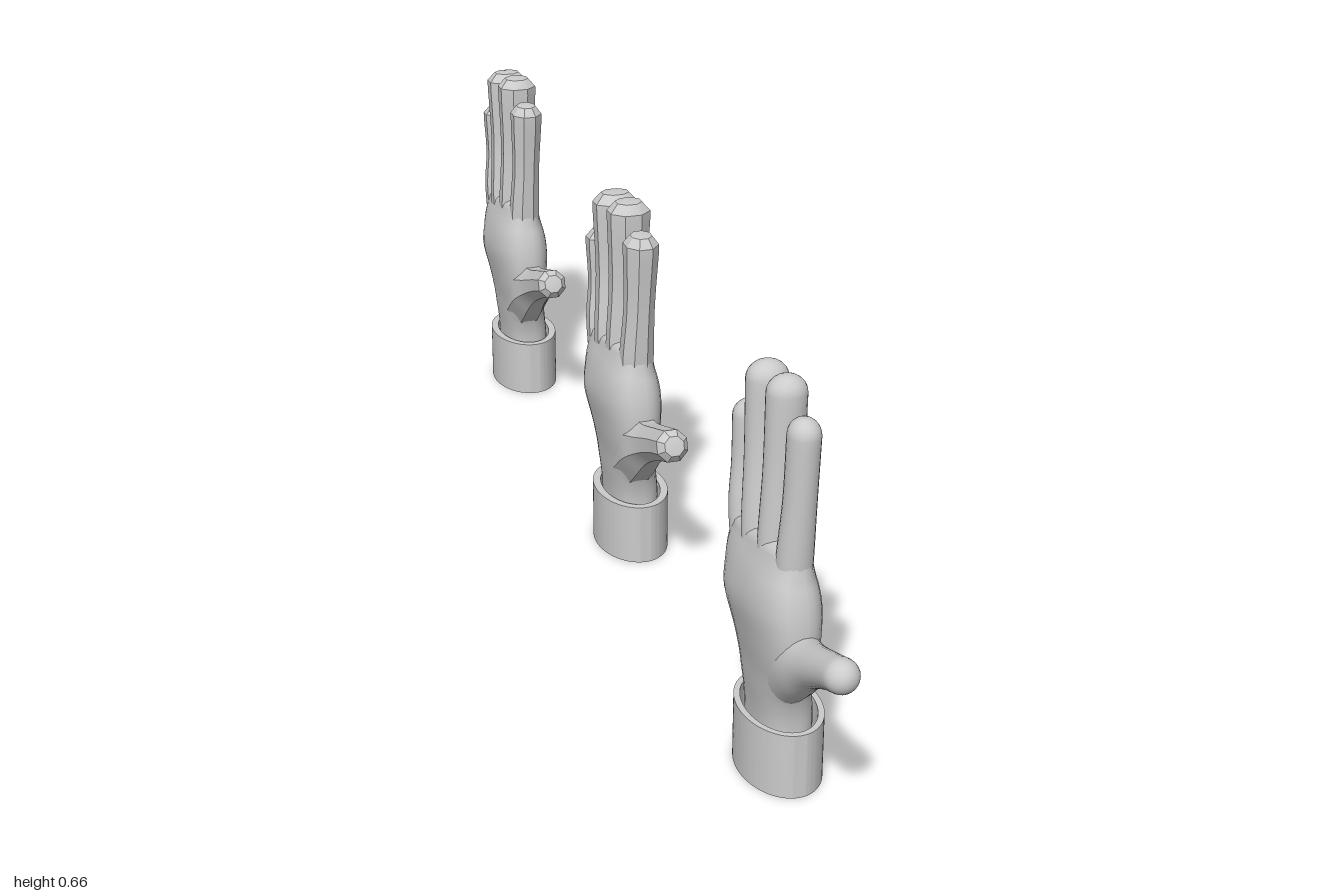
import * as THREE from 'three';
import { toCreasedNormals } from 'three/addons/utils/BufferGeometryUtils.js';

const material = new THREE.MeshStandardMaterial({ color: 0xcccccc, side: THREE.DoubleSide });

// Rounded and chamfered ends: [distance along tip, scale of the ring]
const ROUND_TIP = [1, 2, 3, 4, 5].map((k) => [Math.sin(k * Math.PI / 12), Math.cos(k * Math.PI / 12)]);
const CHAMFER_TIP = [[0.4, 1], [0.9, 0.62]];

// Lofted limb. Stations are [z, y, half width, x centre, half depth] along a path in the zy plane.
function limb(stations, { sides = 24, power = 2, steps = 20, tip = ROUND_TIP, tipLength, crease = 0 }) {
  const centre = new THREE.CatmullRomCurve3(
    stations.map(([z, y, , x]) => new THREE.Vector3(x, y, z)), false, 'catmullrom');
  const size = new THREE.CatmullRomCurve3(
    stations.map(([, , w, , d]) => new THREE.Vector3(d, w, 0)), false, 'catmullrom');
  const positions = [], index = [];
  const grow = sides <= 8 ? 1 / Math.cos(Math.PI / sides) : 1;
  const bend = (v) => Math.sign(v) * Math.abs(v) ** (2 / power);
  let rings = 0;

  const ring = (c, t, s, scale) => {
    for (let j = 0; j < sides; j++) {
      const a = ((j + 0.5) / sides) * Math.PI * 2;
      const n = bend(Math.sin(a)) * s.y * scale * grow;
      positions.push(c.x + bend(Math.cos(a)) * s.x * scale * grow, c.y - t.z * n, c.z + t.y * n);
    }
    rings++;
  };

  for (let i = 0; i <= steps; i++) {
    const u = i / steps;
    ring(centre.getPoint(u), centre.getTangent(u).setX(0).normalize(), size.getPoint(u), 1);
  }
  const end = centre.getPoint(1), dir = centre.getTangent(1).setX(0).normalize(), last = size.getPoint(1);
  const length = tipLength ?? last.y;
  for (const [along, scale] of tip) ring(end.clone().addScaledVector(dir, along * length), dir, last, scale);
  positions.push(...end.addScaledVector(dir, length).toArray());

  for (let i = 0; i < rings; i++) {
    for (let j = 0; j < sides; j++) {
      const a = i * sides + j, b = i * sides + (j + 1) % sides;
      if (i === rings - 1) index.push(a, rings * sides, b);
      else index.push(a, a + sides, b, b, a + sides, b + sides);
    }
  }
  const geometry = new THREE.BufferGeometry();
  geometry.setAttribute('position', new THREE.Float32BufferAttribute(positions, 3));
  geometry.setIndex(index);
  geometry.computeVertexNormals();
  return crease ? toCreasedNormals(geometry, crease) : geometry;
}

// Palm outline by height: y, z min, z max, x min, x max
const PALM = [
  [0.03, -0.072, 0.077, -0.041, 0.043],
  [0.11, -0.073, 0.077, -0.043, 0.045],
  [0.16, -0.079, 0.086, -0.048, 0.040],
  [0.20, -0.094, 0.104, -0.052, 0.037],
  [0.25, -0.116, 0.124, -0.060, 0.041],
  [0.30, -0.131, 0.124, -0.067, 0.044],
  [0.345, -0.140, 0.112, -0.059, 0.036],
  [0.385, -0.144, 0.103, -0.044, 0.028],
].map(([y, z0, z1, x0, x1]) => [(z0 + z1) / 2, y, (z1 - z0) / 2, (x0 + x1) / 2, (x1 - x0) / 2]);

// Fingers: z at base, knuckle and tip, top height, half width, half depth
const FINGERS = {
  indexFinger: [0.070, 0.077, 0.087, 0.626, 0.027, 0.025],
  middleFinger: [0.018, 0.017, 0.015, 0.662, 0.028, 0.031],
  ringFinger: [-0.035, -0.046, -0.065, 0.652, 0.029, 0.033],
  littleFinger: [-0.098, -0.116, -0.129, 0.562, 0.026, 0.029],
};

const THUMB = [
  [0.045, 0.195, 0.055, -0.006, 0.040],
  [0.100, 0.236, 0.050, -0.006, 0.039],
  [0.155, 0.263, 0.034, -0.005, 0.031],
  [0.210, 0.287, 0.028, -0.004, 0.027],
  [0.253, 0.303, 0.027, -0.003, 0.027],
];

function ellipse(a, b, Type) {
  const path = new Type();
  path.absellipse(0, 0, a, b, 0, Math.PI * 2, false, 0);
  return path;
}

function extrudeUp(shape, depth) {
  const geometry = new THREE.ExtrudeGeometry(shape, { depth, bevelEnabled: false, curveSegments: 48 });
  return toCreasedNormals(geometry.rotateX(-Math.PI / 2), 0.6);
}

function createHand(name, angular, closedCuff) {
  const hand = new THREE.Group();
  hand.name = name;
  const add = (part, geometry) => {
    const mesh = new THREE.Mesh(geometry, material);
    mesh.name = part;
    hand.add(mesh);
    return mesh;
  };
  const style = angular ? { sides: 8, tip: CHAMFER_TIP, crease: 0.6 } : {};
  const flare = angular ? 1.14 : 1;

  add('palm', limb(PALM, { sides: 32, power: 2.6, steps: 28, tipLength: 0.02 }));
  add('thumb', limb(THUMB, style));
  for (const [part, [zBase, zKnuckle, zTip, top, w, d]] of Object.entries(FINGERS)) {
    const tipY = top - w * flare;
    add(part, limb([
      [zBase, 0.29, w, -0.009, d * 1.05],
      [zKnuckle, 0.39, w, -0.009, d * 1.12],
      [(zKnuckle + zTip * 2) / 3, (0.39 + tipY) / 2, w * 0.96, -0.006, d],
      [zTip, tipY, w * flare, -0.004, d * flare],
    ], style));
  }

  // Oval wrist cuff, with an optional closed base
  const wall = angular ? 0.014 : 0.010;
  const shape = ellipse(0.0645, 0.098, THREE.Shape);
  shape.holes.push(ellipse(0.0645 - wall, 0.098 - wall, THREE.Path));
  add('cuff', extrudeUp(shape, 0.11)).position.set(0.002, 0, 0.003);
  if (closedCuff) {
    const base = ellipse(0.0645 - wall, 0.098 - wall, THREE.Shape);
    add('cuffBase', extrudeUp(base, 0.01)).position.set(0.002, 0, 0.003);
  }
  return hand;
}

export function createModel() {
  const model = new THREE.Group();
  model.name = 'threeHands';
  [['smoothHand', false, false], ['angularHand', true, false], ['angularHandClosedCuff', true, true]]
    .forEach(([name, angular, closed], i) => {
      const hand = createHand(name, angular, closed);
      hand.position.z = 0.72 - i * 0.775;
      model.add(hand);
    });
  return model;
}
